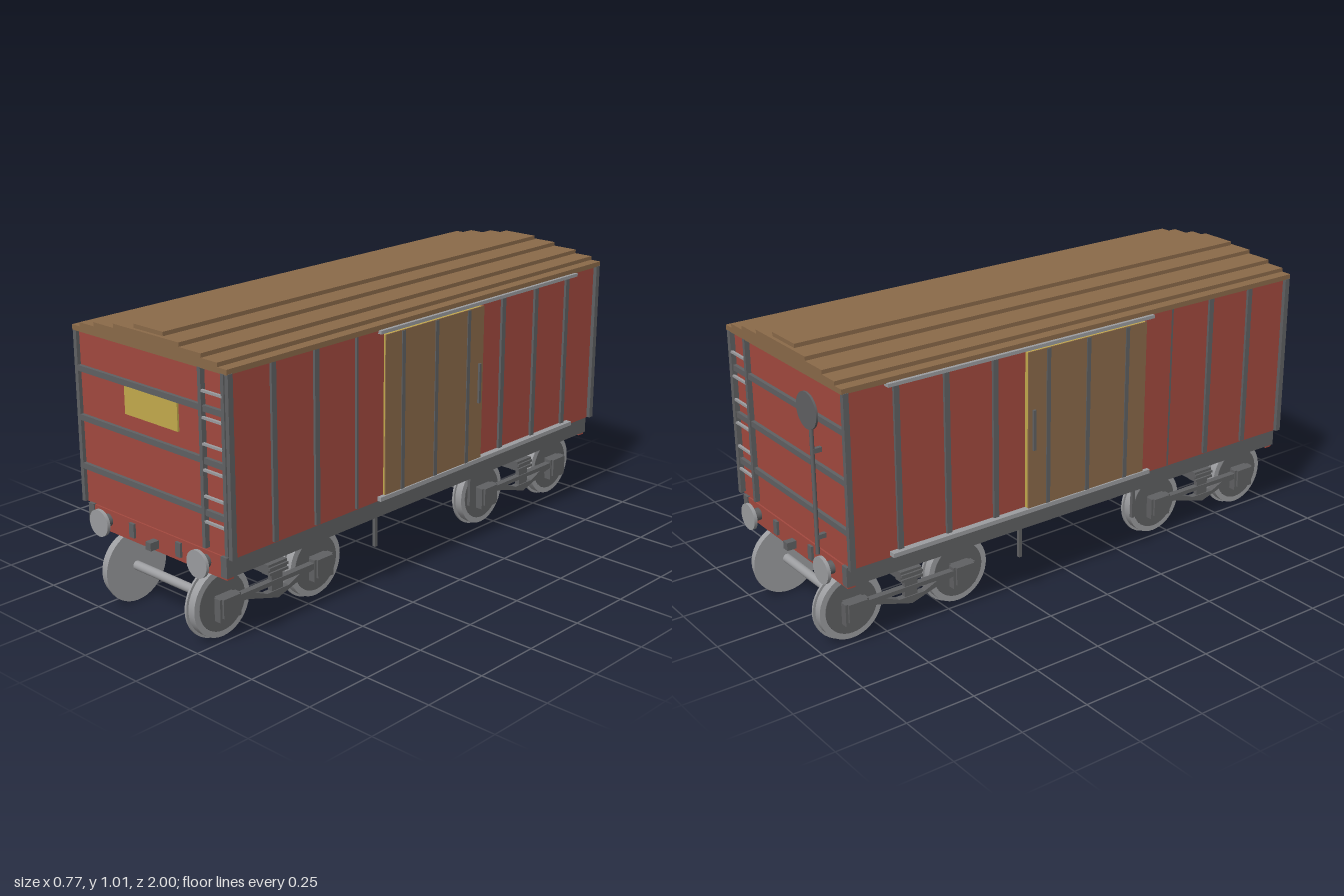
import * as THREE from 'three';

const mat = (name, color) => {
  const m = new THREE.MeshStandardMaterial({ color });
  m.name = name;
  return m;
};

export function createModel() {
  const red = mat('red paint', 0xa3493f);
  const brown = mat('brown timber', 0x8b6a49);
  const iron = mat('dark iron', 0x606163);
  const steel = mat('light steel', 0x9c9da0);
  const yellow = mat('yellow board', 0xc4ab4d);

  const model = new THREE.Group();
  model.name = 'coveredWagon';

  const add = (parent, name, geo, material, x, y, z) => {
    const mesh = new THREE.Mesh(geo, material);
    mesh.name = name;
    mesh.position.set(x, y, z);
    parent.add(mesh);
    return mesh;
  };
  // box given by its limits on each axis
  const box = (parent, name, material, x0, x1, y0, y1, z0, z1) =>
    add(parent, name, new THREE.BoxGeometry(Math.abs(x1 - x0), y1 - y0, Math.abs(z1 - z0)),
      material, (x0 + x1) / 2, (y0 + y1) / 2, (z0 + z1) / 2);
  // cylinder along a chosen axis
  const rod = (parent, name, material, axis, r, len, x, y, z, seg = 32) => {
    const g = new THREE.CylinderGeometry(r, r, len, seg);
    if (axis === 'x') g.rotateZ(Math.PI / 2);
    if (axis === 'z') g.rotateX(Math.PI / 2);
    return add(parent, name, g, material, x, y, z);
  };
  const group = (name, parent = model) => {
    const g = new THREE.Group();
    g.name = name;
    parent.add(g);
    return g;
  };

  // body and stepped roof
  box(model, 'body', red, -0.358, 0.358, 0.338, 0.94, -0.937, 0.937);
  const roof = group('roof');
  [[0.37, 0.938, 0.956, 0.953], [0.33, 0.956, 0.97, 0.953], [0.257, 0.97, 0.984, 0.953],
    [0.157, 0.984, 0.998, 0.953], [0.07, 0.998, 1.012, 0.94]].forEach(([w, y0, y1, l]) =>
    box(roof, 'roofBoard', brown, -w, w, y0, y1, -l, l));

  // side walls
  for (const s of [1, -1]) {
    const side = group(s > 0 ? 'leftSide' : 'rightSide');
    for (const z of [0.756, 0.568, -0.378, -0.568, -0.756])
      box(side, 'wallRib', iron, s * 0.35, s * 0.367, 0.345, 0.94, z - 0.01, z + 0.01);
    box(side, 'doorPostPanel', red, s * 0.35, s * 0.367, 0.345, 0.94, 0.257, 0.378);
    box(side, 'doorPostRib', iron, s * 0.35, s * 0.367, 0.345, 0.94, 0.378, 0.386);
    box(side, 'doorEdge', yellow, s * 0.35, s * 0.372, 0.35, 0.918, -0.253, 0.256);
    box(side, 'door', brown, s * 0.372, s * 0.376, 0.35, 0.92, -0.253, 0.256);
    for (const z of [0.17, 0, -0.17])
      box(side, 'doorRib', iron, s * 0.37, s * 0.379, 0.35, 0.918, z - 0.008, z + 0.008);
    box(side, 'doorHandle', iron, s * 0.376, s * 0.384, 0.57, 0.715, -0.236, -0.226);
    box(side, 'topRail', steel, s * 0.355, s * 0.382, 0.928, 0.94, -0.795, 0.285);
    box(side, 'bottomRail', steel, s * 0.355, s * 0.382, 0.345, 0.36, -0.795, 0.285);
    box(side, 'sideSill', iron, s * 0.315, s * 0.342, 0.27, 0.34, -0.948, 0.948);
    for (const z of [-0.255, 0.255])
      box(side, 'hangingStay', iron, s * 0.323, s * 0.335, 0.16, 0.275, z - 0.006, z + 0.006);
  }

  // end walls with posts, bands, ladder and buffers
  for (const e of [1, -1]) {
    const end = group(e > 0 ? 'frontEnd' : 'backEnd');
    for (const s of [1, -1]) {
      box(end, 'cornerPost', iron, s * 0.356, s * 0.372, 0.34, 0.94, e * 0.93, e * 0.95);
      rod(end, 'bufferShank', iron, 'z', 0.022, 0.05, s * 0.243, 0.303, e * 0.955, 20);
      rod(end, 'bufferHead', steel, 'z', 0.047, 0.012, s * 0.243, 0.303, e * 0.98);
      box(end, 'centreSillEnd', iron, s * 0.103, s * 0.127, 0.278, 0.328, e * 0.93, e * 0.952);
    }
    for (const y of [0.81, 0.64, 0.469])
      box(end, 'wallBand', iron, -0.356, 0.356, y - 0.01, y + 0.01, e * 0.93, e * 0.95);
    box(end, 'headstock', red, -0.338, 0.338, 0.262, 0.338, e * 0.915, e * 0.943);
    box(end, 'couplerShank', iron, -0.013, 0.013, 0.275, 0.303, e * 0.93, e * 0.978);
    for (const x of [0.247, 0.35])
      box(end, 'ladderPost', iron, x - 0.007, x + 0.007, 0.35, 0.94, e * 0.93, e * 0.955);
    for (const y of [0.44, 0.525, 0.611, 0.696, 0.781, 0.867])
      box(end, 'ladderRung', steel, 0.25, 0.347, y - 0.004, y + 0.004, e * 0.946, e * 0.955);
  }
  box(model, 'endBoard', yellow, -0.128, 0.128, 0.702, 0.8, 0.936, 0.944);

  // hand brake on the back end
  const brake = group('handBrake');
  rod(brake, 'brakeColumn', iron, 'y', 0.007, 0.5, -0.2, 0.59, -0.968, 12);
  rod(brake, 'brakeWheel', iron, 'z', 0.062, 0.007, -0.2, 0.84, -0.979);
  for (const y of [0.4, 0.7])
    box(brake, 'brakeBracket', iron, -0.207, -0.193, y - 0.008, y + 0.008, -0.968, -0.935);

  // underframe
  const frame = group('underframe');
  for (const s of [1, -1])
    box(frame, 'centreSill', iron, s * 0.103, s * 0.127, 0.278, 0.34, -0.93, 0.93);
  for (const z of [-0.66, -0.4, -0.13, 0.13, 0.4, 0.66])
    box(frame, 'crossMember', iron, -0.316, 0.316, 0.285, 0.34, z - 0.014, z + 0.014);
  rod(frame, 'airTank', iron, 'z', 0.046, 0.5, 0.155, 0.22, 0.002);
  for (const z of [-0.15, 0.15])
    box(frame, 'tankHanger', iron, 0.147, 0.163, 0.25, 0.3, z - 0.01, z + 0.01);

  // curved lower strap of a bogie side frame, drawn in z and y
  const strap = new THREE.Shape();
  [[-0.2, 0.155], [-0.13, 0.15], [-0.05, 0.115], [0.05, 0.115], [0.13, 0.15], [0.2, 0.155],
    [0.2, 0.138], [0.13, 0.125], [0, 0.086], [-0.13, 0.125], [-0.2, 0.138]]
    .forEach(([z, y], i) => (i ? strap.lineTo(z, y) : strap.moveTo(z, y)));
  const strapGeo = new THREE.ExtrudeGeometry(strap, { depth: 0.024, bevelEnabled: false });
  strapGeo.translate(0, 0, -0.012).rotateY(Math.PI / 2);

  // bogies
  for (const b of [1, -1]) {
    const bogie = group(b > 0 ? 'frontBogie' : 'backBogie');
    bogie.position.z = b * 0.659;
    box(bogie, 'bolster', iron, -0.25, 0.25, 0.175, 0.213, -0.035, 0.035);
    rod(bogie, 'centrePivot', iron, 'y', 0.04, 0.08, 0, 0.25, 0, 20);
    for (const s of [1, -1]) {
      add(bogie, 'sideFrameStrap', strapGeo, iron, s * 0.257, 0, 0);
      box(bogie, 'sideFrameBar', iron, s * 0.245, s * 0.269, 0.138, 0.153, -0.21, 0.21);
      for (let i = 0; i < 4; i++)
        box(bogie, 'springLeaf', iron, s * 0.236, s * (i % 2 ? 0.268 : 0.275),
          0.177 + i * 0.009, 0.186 + i * 0.009, -0.042, 0.042);
      box(bogie, 'springPost', iron, s * 0.247, s * 0.265, 0.11, 0.18, -0.025, 0.025);
    }
    for (const w of [1, -1]) {
      const set = group('wheelset', bogie);
      set.position.set(0, 0.13, w * 0.213);
      rod(set, 'axle', steel, 'x', 0.016, 0.5, 0, 0, 0, 20);
      for (const s of [1, -1]) {
        rod(set, 'wheelFlange', steel, 'x', 0.128, 0.008, s * 0.199, 0, 0, 40);
        rod(set, 'wheelTread', steel, 'x', 0.119, 0.03, s * 0.216, 0, 0, 40);
        rod(set, 'wheelDisc', iron, 'x', 0.098, 0.006, s * 0.23, 0, 0, 40);
        box(set, 'axleBox', iron, s * 0.235, s * 0.279, -0.032, 0.034, -0.036, 0.036);
        box(set, 'axleBoxLid', iron, s * 0.244, s * 0.271, -0.046, 0.034, -0.045, 0.045);
      }
    }
  }
  return model;
}
